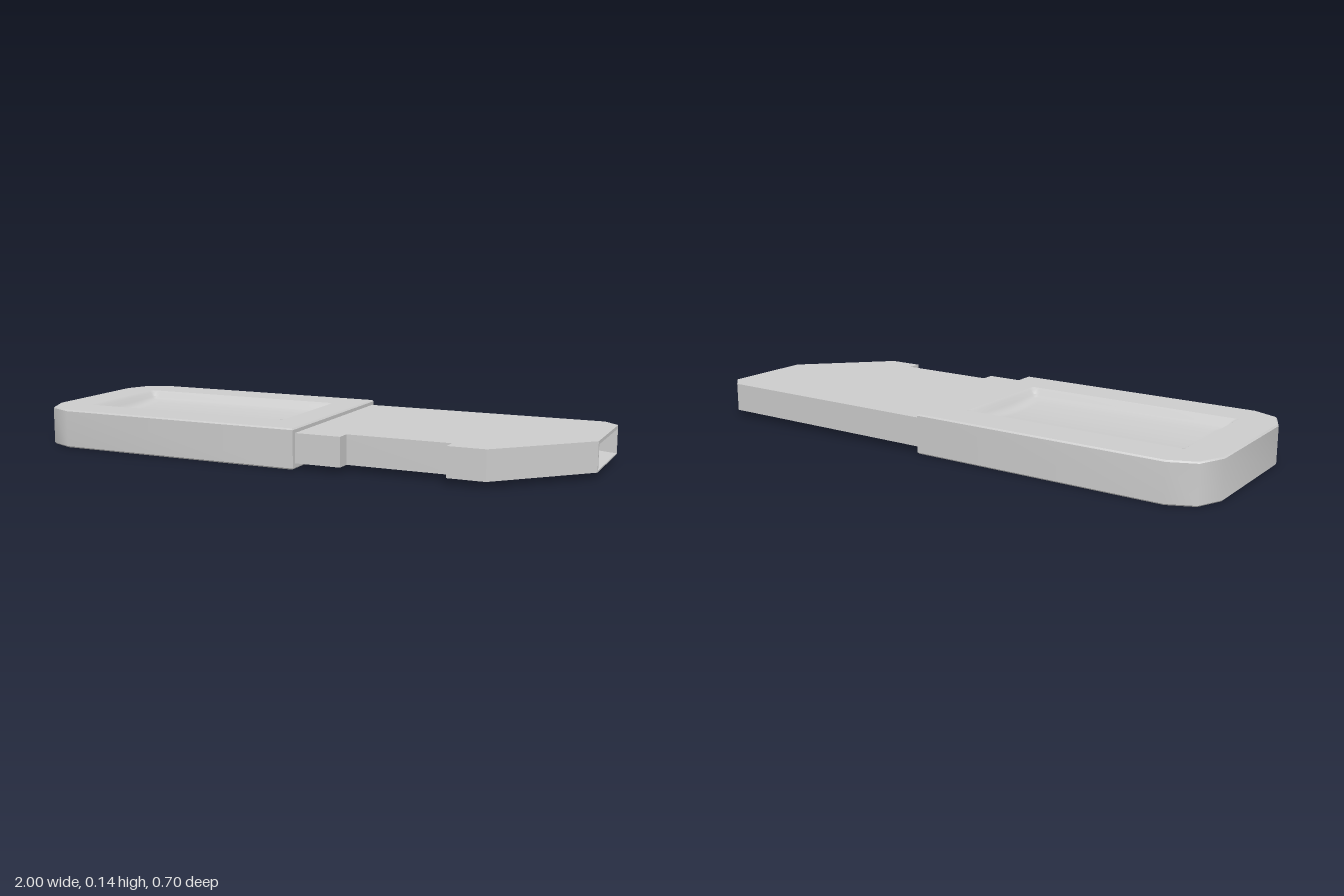
import * as THREE from 'three';
import { toCreasedNormals } from 'three/addons/utils/BufferGeometryUtils.js';

const material = new THREE.MeshStandardMaterial({ color: 0xcccccc });

// Basin opening in the handle
const BASIN = { x: -0.46, w: 0.81, d: 0.42 };
const HANDLE_H = 0.14;

// Outlines are given as [x, z] pairs and extruded upwards from y0 to y1
const toPoints = (pairs) => pairs.map(([x, z]) => new THREE.Vector2(x, -z));

function slab(name, pairs, y0, y1, bevel = 0, hole = null) {
  const shape = new THREE.Shape(toPoints(pairs));
  if (hole) shape.holes.push(new THREE.Path(toPoints(hole)));
  const geo = new THREE.ExtrudeGeometry(shape, {
    depth: y1 - y0 - 2 * bevel,
    bevelEnabled: bevel > 0,
    bevelThickness: bevel,
    bevelSize: bevel,
    bevelOffset: -bevel,
    bevelSegments: 1,
  });
  geo.rotateX(-Math.PI / 2);
  geo.translate(0, y0 + bevel, 0);
  const mesh = new THREE.Mesh(toCreasedNormals(geo, 0.76), material);
  mesh.name = name;
  return mesh;
}

// Thumb recess: steep rim, then a gently dished floor
function basin(name) {
  const geo = new THREE.PlaneGeometry(BASIN.w, BASIN.d, 81, 42);
  geo.rotateX(-Math.PI / 2);
  const p = geo.attributes.position;
  for (let i = 0; i < p.count; i++) {
    const x = p.getX(i), z = p.getZ(i);
    const edge = Math.min(BASIN.w / 2 - Math.abs(x), BASIN.d / 2 - Math.abs(z));
    const rim = 0.025 * THREE.MathUtils.smoothstep(edge, 0, 0.03);
    const dish = 0.02 * (1 - (2 * z / BASIN.d) ** 2) * THREE.MathUtils.smoothstep(edge, 0, 0.06);
    p.setY(i, -rim - dish);
  }
  geo.computeVertexNormals();
  const mesh = new THREE.Mesh(geo, material);
  mesh.name = name;
  return mesh;
}

function createHandle() {
  const handle = new THREE.Group();
  handle.name = 'handle';
  const b = 0.005;
  const hx = BASIN.w / 2 - b, hz = BASIN.d / 2 - b;
  const outline = [
    [0.055, 0.35], [0.055, -0.35], [-0.87, -0.35], [-0.96, -0.31],
    [-1, -0.22], [-1, 0.22], [-0.96, 0.31], [-0.87, 0.35],
  ];
  const hole = [
    [BASIN.x - hx, -hz], [BASIN.x + hx, -hz], [BASIN.x + hx, hz], [BASIN.x - hx, hz],
  ];
  handle.add(slab('handleBody', outline, 0, HANDLE_H, b, hole));

  const top = basin('topRecess');
  top.position.set(BASIN.x, HANDLE_H, 0);
  const bottom = basin('bottomRecess');
  bottom.position.set(BASIN.x, 0, 0);
  bottom.rotation.x = Math.PI;
  handle.add(top, bottom);
  return handle;
}

function createBlade() {
  const blade = new THREE.Group();
  blade.name = 'blade';
  const y0 = 0.02, y1 = 0.123;
  const slot = { y0: 0.025, y1: 0.111, z0: -0.27, z1: 0.04, x: 0.75 };

  // Plug outline with a side notch and a slanted front corner
  const start = [
    [0.04, 0.333], [0.22, 0.333], [0.22, 0.283], [0.585, 0.283],
    [0.585, 0.333], [0.715, 0.333], [1, 0.05],
  ];
  const end = [[1, -0.28], [0.945, -0.333], [0.04, -0.333]];
  const cut = [[1, slot.z1], [slot.x, slot.z1], [slot.x, slot.z0], [1, slot.z0]];

  blade.add(
    slab('bladeBottom', [...start, ...end], y0, slot.y0),
    slab('bladeCore', [...start, ...cut, ...end], slot.y0, slot.y1),
    slab('bladeTop', [...start, ...end], slot.y1, y1),
  );

  // Sloped floor and ceiling that narrow the slot inwards
  const ramps = [['slotFloor', slot.y0, 0.02], ['slotCeiling', slot.y1, -0.011]];
  for (const [name, y, rise] of ramps) {
    const shape = new THREE.Shape([
      new THREE.Vector2(slot.x, y),
      new THREE.Vector2(0.998, y),
      new THREE.Vector2(slot.x, y + rise),
    ]);
    const geo = new THREE.ExtrudeGeometry(shape, { depth: slot.z1 - slot.z0, bevelEnabled: false });
    geo.translate(0, 0, slot.z0);
    const ramp = new THREE.Mesh(geo, material);
    ramp.name = name;
    blade.add(ramp);
  }
  return blade;
}

export function createModel() {
  const model = new THREE.Group();
  model.name = 'plugInStick';
  model.add(createHandle(), createBlade());
  return model;
}
